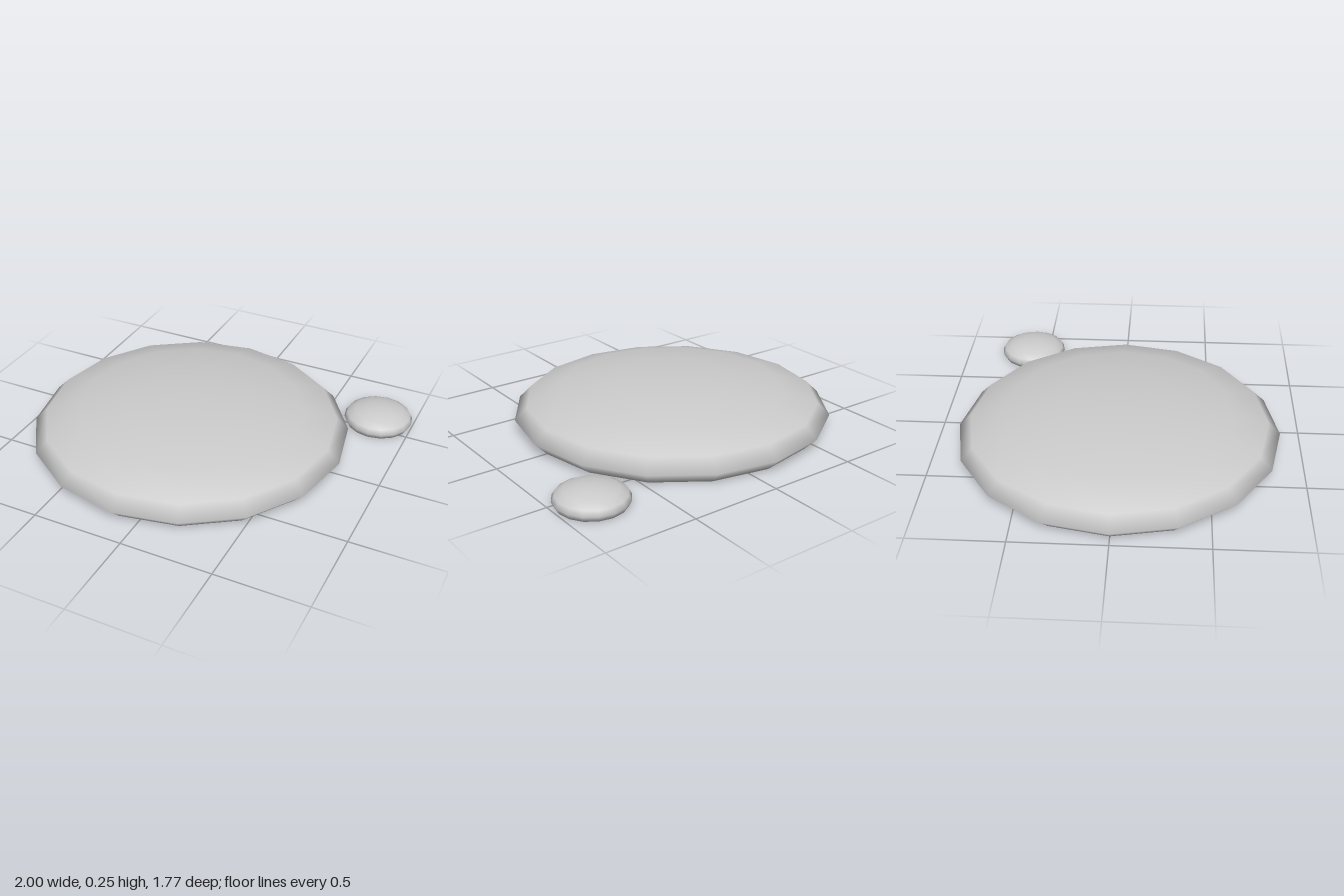
import * as THREE from 'three';
import { mergeVertices } from 'three/addons/utils/BufferGeometryUtils.js';

const material = new THREE.MeshStandardMaterial({ color: 0xcccccc });

// Squashed sphere whose underside is pressed flat onto the ground
function flattenedDome(name, radius, halfHeight, centre) {
  let geometry = new THREE.SphereGeometry(1, 16, 8);
  geometry.scale(radius, halfHeight, radius);
  geometry.translate(0, centre.y, 0);
  const p = geometry.attributes.position;
  for (let i = 0; i < p.count; i++) {
    // the lowest side ring and everything under it lies on the ground
    if (p.getY(i) < 0.005) p.setY(i, 0);
  }

  // Weld the seam and poles so the shading is smooth all round
  geometry.deleteAttribute('uv');
  geometry.deleteAttribute('normal');
  geometry = mergeVertices(geometry, 1e-4);
  geometry.computeVertexNormals();

  const mesh = new THREE.Mesh(geometry, material);
  mesh.name = name;
  mesh.position.set(centre.x, 0, centre.z);
  return mesh;
}

export function createModel() {
  const model = new THREE.Group();
  model.name = 'flattenedStones';
  model.add(
    flattenedDome('largeStone', 0.886, 0.18, new THREE.Vector3(-0.114, 0.07, 0)),
    flattenedDome('smallStone', 0.195, 0.07, new THREE.Vector3(0.805, 0.03, -0.589))
  );
  return model;
}
